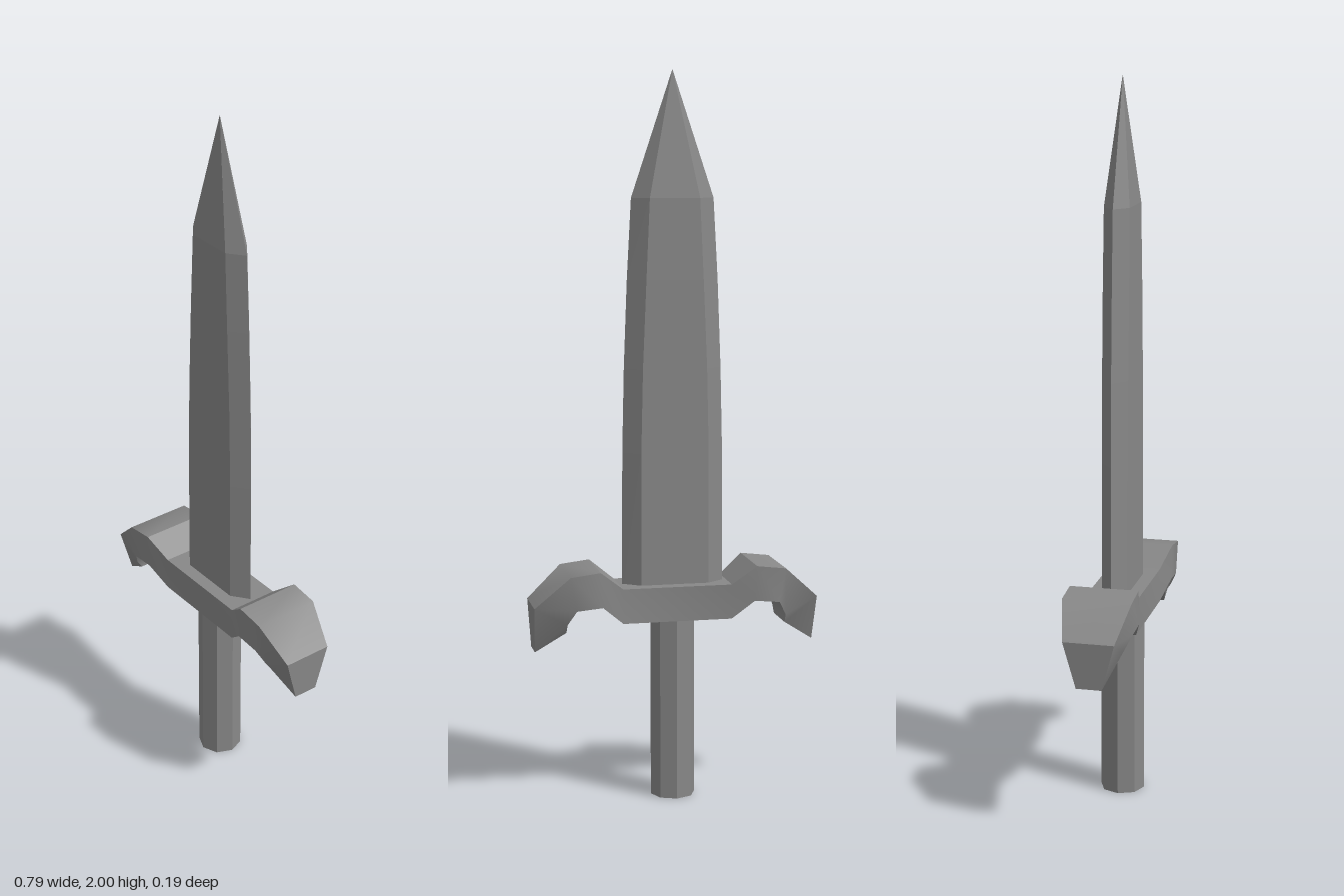
import * as THREE from 'three';
import { toCreasedNormals } from 'three/addons/utils/BufferGeometryUtils.js';

const material = new THREE.MeshStandardMaterial({ color: 0x888888 });
const CREASE = THREE.MathUtils.degToRad(36);

// Closed flat-faced solid through a row of rings, each ring a list of [x, y, z] corners
function loft(rings) {
  const positions = [];
  const tri = (a, b, c) => positions.push(...a, ...b, ...c);
  const n = rings[0].length;
  for (let i = 0; i < rings.length - 1; i++) {
    const lower = rings[i], upper = rings[i + 1];
    for (let j = 0; j < n; j++) {
      const k = (j + 1) % n;
      tri(lower[j], upper[j], lower[k]);
      tri(lower[k], upper[j], upper[k]);
    }
  }
  const first = rings[0], last = rings[rings.length - 1];
  for (let j = 1; j < n - 1; j++) {
    tri(first[0], first[j], first[j + 1]);
    tri(last[0], last[j + 1], last[j]);
  }
  const geometry = new THREE.BufferGeometry();
  geometry.setAttribute('position', new THREE.Float32BufferAttribute(positions, 3));
  geometry.computeVertexNormals();
  return geometry;
}

function addPart(group, name, geometry) {
  const mesh = new THREE.Mesh(geometry, material);
  mesh.name = name;
  group.add(mesh);
  return mesh;
}

// Six-sided blade section: cutting edges at +-w, flat faces between +-r
function bladeRing([y, w, r, t]) {
  return [[w, y, 0], [r, y, t], [-r, y, t], [-w, y, 0], [-r, y, -t], [r, y, -t]];
}

// Four-cornered guard section from an upper and a lower point, each with its half depth
function guardRing([topX, topY, topZ, bottomX, bottomY, bottomZ], side) {
  return [
    [side * topX, topY, topZ], [side * topX, topY, -topZ],
    [side * bottomX, bottomY, -bottomZ], [side * bottomX, bottomY, bottomZ],
  ];
}

export function createModel() {
  const model = new THREE.Group();
  model.name = 'dagger';

  // Blade: y, half width, half width of the flat, half thickness
  const bladeSections = [
    [0.56, 0.142, 0.095, 0.036],
    [0.97, 0.14, 0.094, 0.036],
    [1.2, 0.135, 0.089, 0.036],
    [1.44, 0.126, 0.079, 0.036],
    [1.66, 0.114, 0.069, 0.035],
    [2.0, 0.0005, 0.0003, 0.0003],
  ];
  addPart(model, 'blade', loft(bladeSections.map(bladeRing)));

  // Guard: one arm from the middle out to its hooked end, mirrored to the other side
  const arm = [
    [0.152, 0.604, 0.073, 0.152, 0.508, 0.073],
    [0.218, 0.657, 0.095, 0.212, 0.56, 0.095],
    [0.3, 0.647, 0.095, 0.283, 0.553, 0.093],
    [0.396, 0.56, 0.07, 0.306, 0.512, 0.073],
    [0.391, 0.432, 0.035, 0.307, 0.487, 0.056],
  ];
  const guardRings = [
    ...arm.map((s) => guardRing(s, -1)).reverse(),
    ...arm.map((s) => guardRing(s, 1)),
  ];
  addPart(model, 'guard', toCreasedNormals(loft(guardRings), CREASE));

  // Grip: plain eight-sided bar
  const gripShape = new THREE.CylinderGeometry(0.062, 0.062, 0.54, 8);
  const grip = addPart(model, 'grip', toCreasedNormals(gripShape, CREASE));
  grip.position.y = 0.27;

  return model;
}
